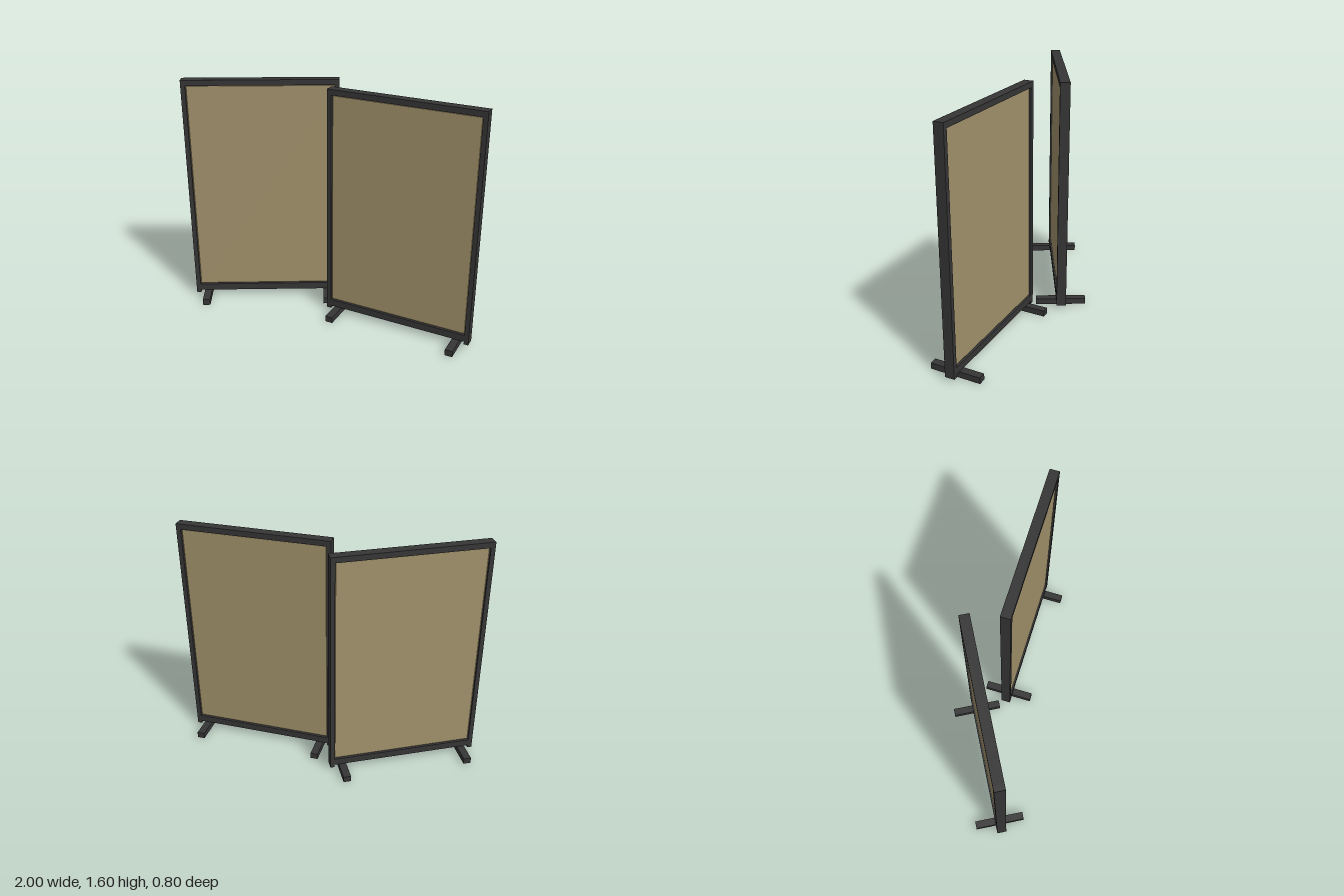
import * as THREE from 'three';

const frameMat = new THREE.MeshStandardMaterial({ color: 0x363637 });
frameMat.name = 'charcoal frame';
const fabricMat = new THREE.MeshStandardMaterial({ color: 0xa2926c });
fabricMat.name = 'tan fabric';

const LENGTH = 1.03, DEPTH = 0.065, POST = 0.03, TOP = 1.6;
const RAIL_TOP = 1.563, RAIL_LOW = 0.042, RAIL_LOW_TOP = 0.09;

function box(name, w, h, d, x, y, z = 0) {
  const mesh = new THREE.Mesh(new THREE.BoxGeometry(w, h, d), frameMat);
  mesh.name = name;
  mesh.position.set(x, y, z);
  return mesh;
}

// Padded infill with a small bevel round its edge
function fabricPanel() {
  const w = LENGTH - 2 * POST, h = RAIL_TOP - RAIL_LOW_TOP, b = 0.006, half = 0.021;
  const s = new THREE.Shape();
  const x = w / 2 - b, y = h / 2 - b;
  s.moveTo(-x, -y).lineTo(x, -y).lineTo(x, y).lineTo(-x, y).closePath();
  const geo = new THREE.ExtrudeGeometry(s, {
    depth: 2 * (half - b), bevelEnabled: true, bevelSize: b, bevelThickness: b, bevelSegments: 1,
  });
  geo.translate(0, (RAIL_TOP + RAIL_LOW_TOP) / 2, -(half - b));
  const mesh = new THREE.Mesh(geo, fabricMat);
  mesh.name = 'fabricPanel';
  return mesh;
}

function screen(name) {
  const g = new THREE.Group();
  g.name = name;
  const inner = LENGTH - 2 * POST;
  g.add(fabricPanel());
  g.add(box('topRail', inner, TOP - RAIL_TOP, DEPTH, 0, (TOP + RAIL_TOP) / 2));
  g.add(box('bottomRail', inner, RAIL_LOW_TOP - RAIL_LOW, DEPTH, 0, (RAIL_LOW + RAIL_LOW_TOP) / 2));
  for (const s of [-1, 1]) {
    g.add(box('sidePost', POST, TOP - 0.022, DEPTH, s * (LENGTH - POST) / 2, (TOP + 0.022) / 2));
    g.add(box('foot', 0.051, RAIL_LOW, 0.345, s * 0.43, RAIL_LOW / 2));
  }
  return g;
}

export function createModel() {
  const model = new THREE.Group();
  model.name = 'roomDivider';
  // Two screens, turned opposite ways and staggered in depth
  for (const s of [-1, 1]) {
    const g = screen(s < 0 ? 'rightScreen' : 'leftScreen');
    g.position.set(s * 0.492, 0, s * 0.118);
    g.rotation.y = -s * 0.25;
    model.add(g);
  }
  return model;
}
